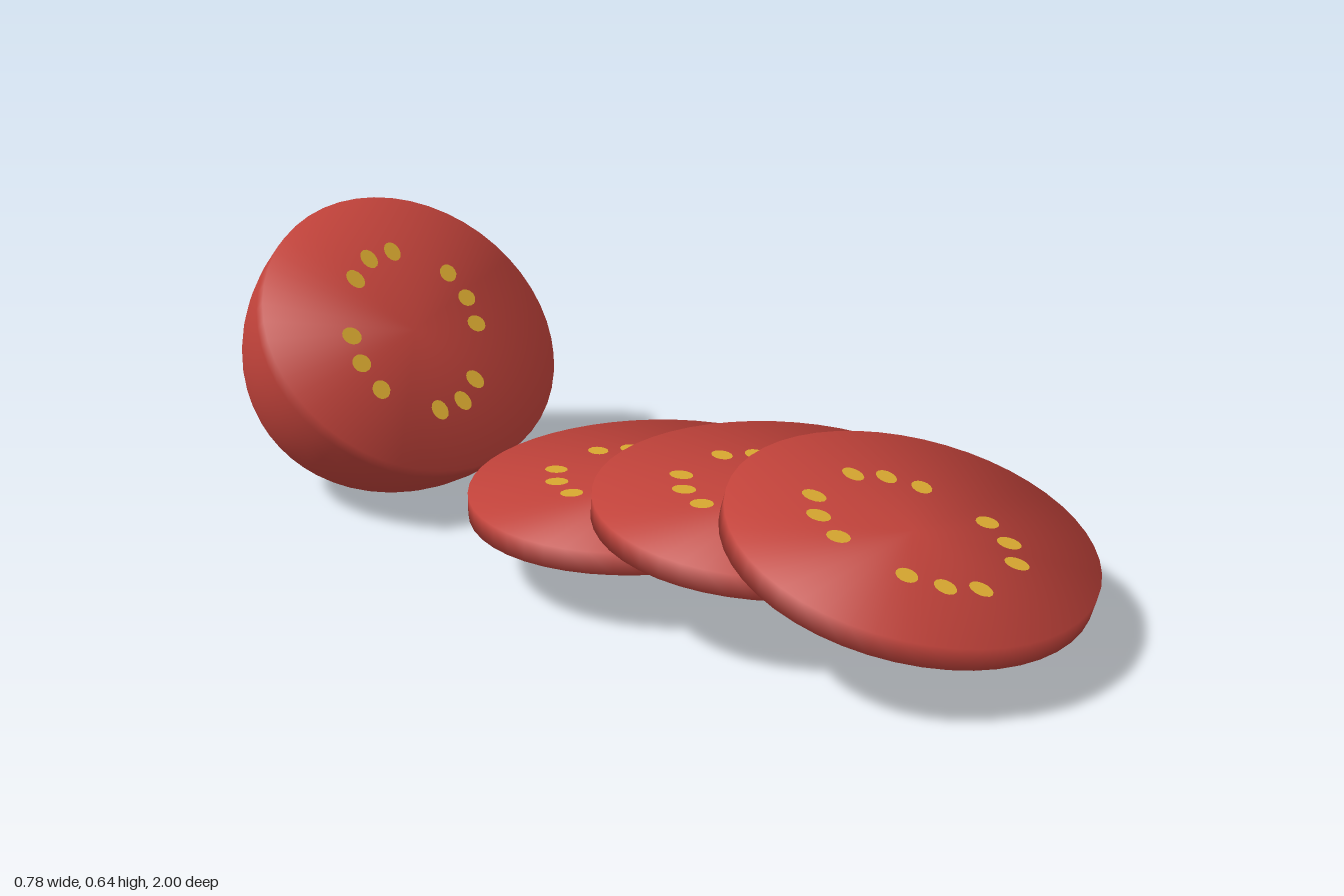
import * as THREE from 'three';

const skinRed = new THREE.MeshStandardMaterial({ color: 0xc0423a });
skinRed.name = 'tomato red';
const seedYellow = new THREE.MeshStandardMaterial({ color: 0xd8a830 });
seedYellow.name = 'seed yellow';

const RX = 0.388, RZ = 0.348, THICK = 0.045;

// Turned shape with an oval outline; the rims at the given heights get soft, rounded shading
function ovalLathe(profile, rx, rz, rims) {
  const geo = new THREE.LatheGeometry(profile.map(([x, y]) => new THREE.Vector2(x, y)), 48);
  geo.scale(rx, 1, rz);
  const pos = geo.attributes.position, normal = geo.attributes.normal;
  const v = new THREE.Vector3();
  for (let i = 0; i < pos.count; i++) {
    v.fromBufferAttribute(pos, i);
    const up = rims.find(([y]) => Math.abs(v.y - y) < 1e-5);
    if (!up) continue;
    v.set(v.x / rx ** 2, 0, v.z / rz ** 2);
    if (v.length() > 1e-3) v.normalize();
    v.y = up[1];
    v.normalize();
    normal.setXYZ(i, v.x, v.y, v.z);
  }
  return geo;
}

// Thin seeds lying on a cut face at height y
function addSeeds(group, points, y) {
  const geo = new THREE.CircleGeometry(1, 14).rotateX(-Math.PI / 2).scale(0.024, 1, 0.021);
  for (const [x, z] of points) {
    const seed = new THREE.Mesh(geo, seedYellow);
    seed.name = 'seed';
    seed.position.set(x, y + 0.003, z);
    seed.rotation.y = -Math.atan2(z, x);
    group.add(seed);
  }
}

export function createModel() {
  const model = new THREE.Group();
  model.name = 'slicedTomato';

  // Three overlapping slices: height, depth, tilt
  const h = THICK / 2;
  const sliceGeo = ovalLathe([[0, -h], [1, -h], [1, h], [0, h]], RX, RZ, [[-h, -1], [h, 1]]);
  const sliceSeeds = [];
  for (const sx of [-1, 1]) for (const sz of [-1, 1])
    for (const [x, z] of [[0.07, 0.183], [0.123, 0.138], [0.153, 0.074]]) sliceSeeds.push([sx * x, sz * z]);
  [[0.157, 0.042, 0], [0.208, 0.361, 0.07], [0.206, 0.658, 0.257]].forEach(([y, z, tilt], i) => {
    const slice = new THREE.Group();
    slice.name = 'slice' + (i + 1);
    const disc = new THREE.Mesh(sliceGeo, skinRed);
    disc.name = 'sliceDisc';
    slice.add(disc);
    addSeeds(slice, sliceSeeds, h);
    slice.position.set(0, y, z);
    slice.rotation.x = tilt;
    model.add(slice);
  });

  // Half tomato: deep dome below a flat cut face
  const half = new THREE.Group();
  half.name = 'halfTomato';
  const profile = [];
  for (let i = 0; i <= 20; i++) {
    const a = (i / 20) * Math.PI / 2;
    profile.push([Math.sin(a), i === 20 ? 0 : -0.428 * Math.cos(a)]);
  }
  profile.push([0, 0]);
  const dome = new THREE.Mesh(ovalLathe(profile, 0.375, 0.34, [[0, 1]]), skinRed);
  dome.name = 'halfDome';
  half.add(dome);
  const halfSeeds = [];
  for (const s of [-1, 1])
    for (const [x, z] of [[-0.075, -0.155], [-0.012, -0.19], [0.058, -0.19], [0.17, -0.1], [0.18, -0.03], [0.165, 0.035]])
      halfSeeds.push([s * x, s * z]);
  addSeeds(half, halfSeeds, 0);

  // Lean the cut face up and forward, turned slightly to the right
  const up = new THREE.Vector3(-0.07, 0.65, 0.76).normalize();
  const front = new THREE.Vector3(0, -0.76, 0.65).normalize();
  const side = new THREE.Vector3().crossVectors(up, front);
  half.quaternion.setFromRotationMatrix(new THREE.Matrix4().makeBasis(side, up, front));
  half.position.set(0.005, 0.381, -0.606);
  model.add(half);

  return model;
}
